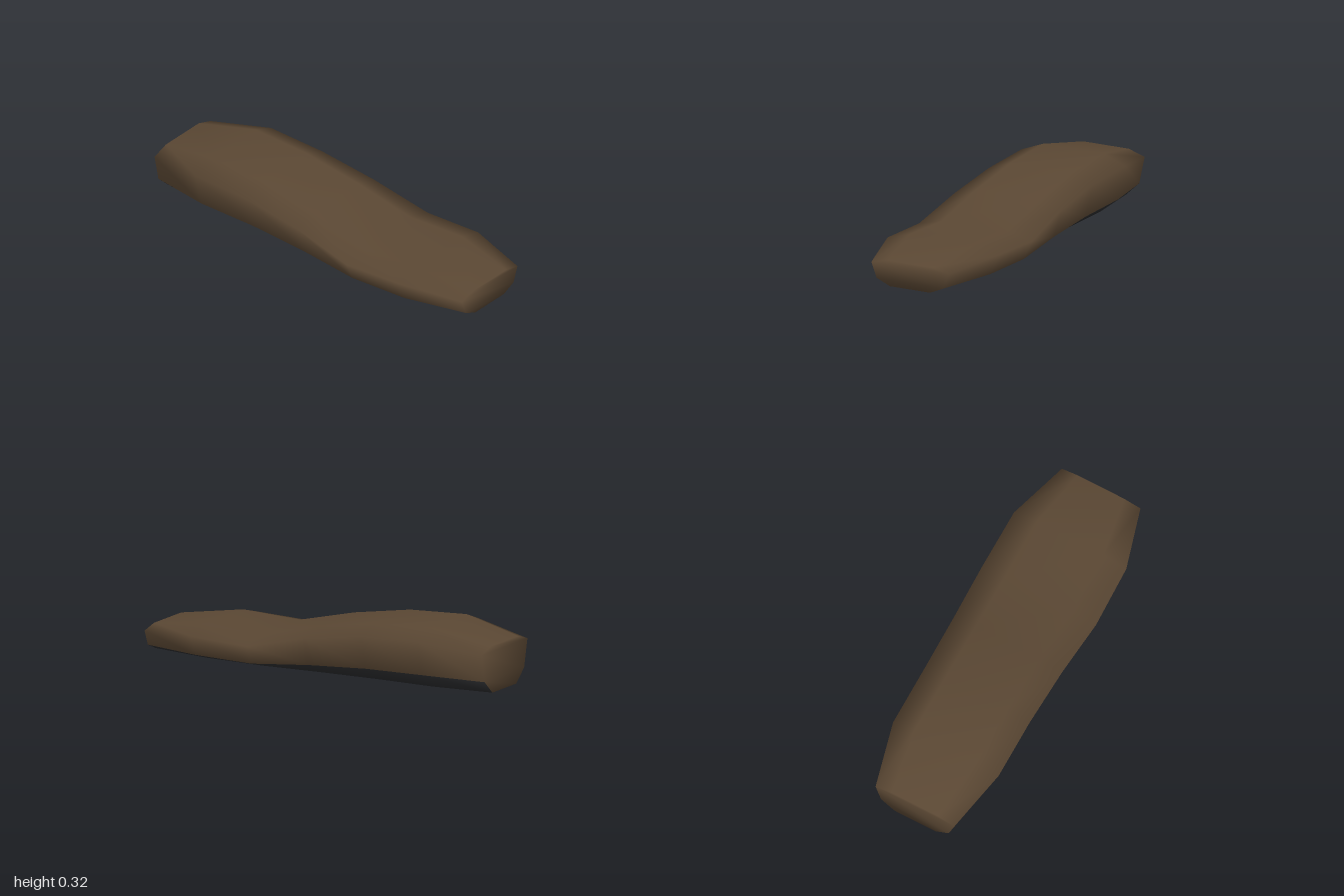
import * as THREE from 'three';

// Cross-sections along x: [x, half width, top, shoulder, seam, bottom]
const SECTIONS = [
  [-1.00, 0.227, 0.255, 0.225, 0.080, 0.010],
  [-0.667, 0.305, 0.320, 0.272, 0.090, 0.010],
  [-0.333, 0.305, 0.303, 0.258, 0.083, 0.009],
  [0.00, 0.313, 0.247, 0.210, 0.063, 0.005],
  [0.333, 0.330, 0.166, 0.132, 0.033, 0.000],
  [0.667, 0.324, 0.180, 0.143, 0.037, 0.000],
  [1.00, 0.227, 0.135, 0.113, 0.033, 0.000],
];

// Eight-sided ring, running from the bottom at -z over the top to +z
function ring([x, w, top, shoulder, seam, bottom]) {
  const half = [[0.52, bottom], [0.86, seam], [1, shoulder], [0.59, top]];
  return [
    ...half.map(([k, y]) => [x, y, -k * w]),
    ...half.reverse().map(([k, y]) => [x, y, k * w]),
  ].flat();
}

export function createModel() {
  const cover = new THREE.MeshStandardMaterial({ color: 0x5a4733 });
  cover.name = 'brownCover';
  const base = new THREE.MeshStandardMaterial({ color: 0x28292b });
  base.name = 'darkBase';

  const upper = [], lower = [];
  const quad = (list, a, b, c, d) => list.push(a, b, c, a, c, d);

  // Long sides: strips below the seam belong to the base
  const last = SECTIONS.length - 1;
  for (let i = 0; i < last; i++) {
    for (let j = 0; j < 8; j++) {
      const k = (j + 1) % 8, p = i * 8, q = p + 8;
      quad(j === 0 || j >= 6 ? lower : upper, p + j, p + k, q + k, q + j);
    }
  }

  // End caps
  const e = last * 8;
  for (let k = 0; k < 3; k++) {
    quad(upper, e + k, e + k + 1, e + 6 - k, e + 7 - k);
    quad(upper, 7 - k, 6 - k, k + 1, k);
  }

  // Shared vertices keep the shading soft across the seam and ends
  const geometry = new THREE.BufferGeometry();
  geometry.setAttribute('position', new THREE.Float32BufferAttribute(SECTIONS.flatMap(ring), 3));
  geometry.setIndex([...upper, ...lower]);
  geometry.addGroup(0, upper.length, 0);
  geometry.addGroup(upper.length, lower.length, 1);
  geometry.computeVertexNormals();

  const seat = new THREE.Mesh(geometry, [cover, base]);
  seat.name = 'paddedSeat';
  const group = new THREE.Group();
  group.name = 'longSeat';
  group.add(seat);
  return group;
}
